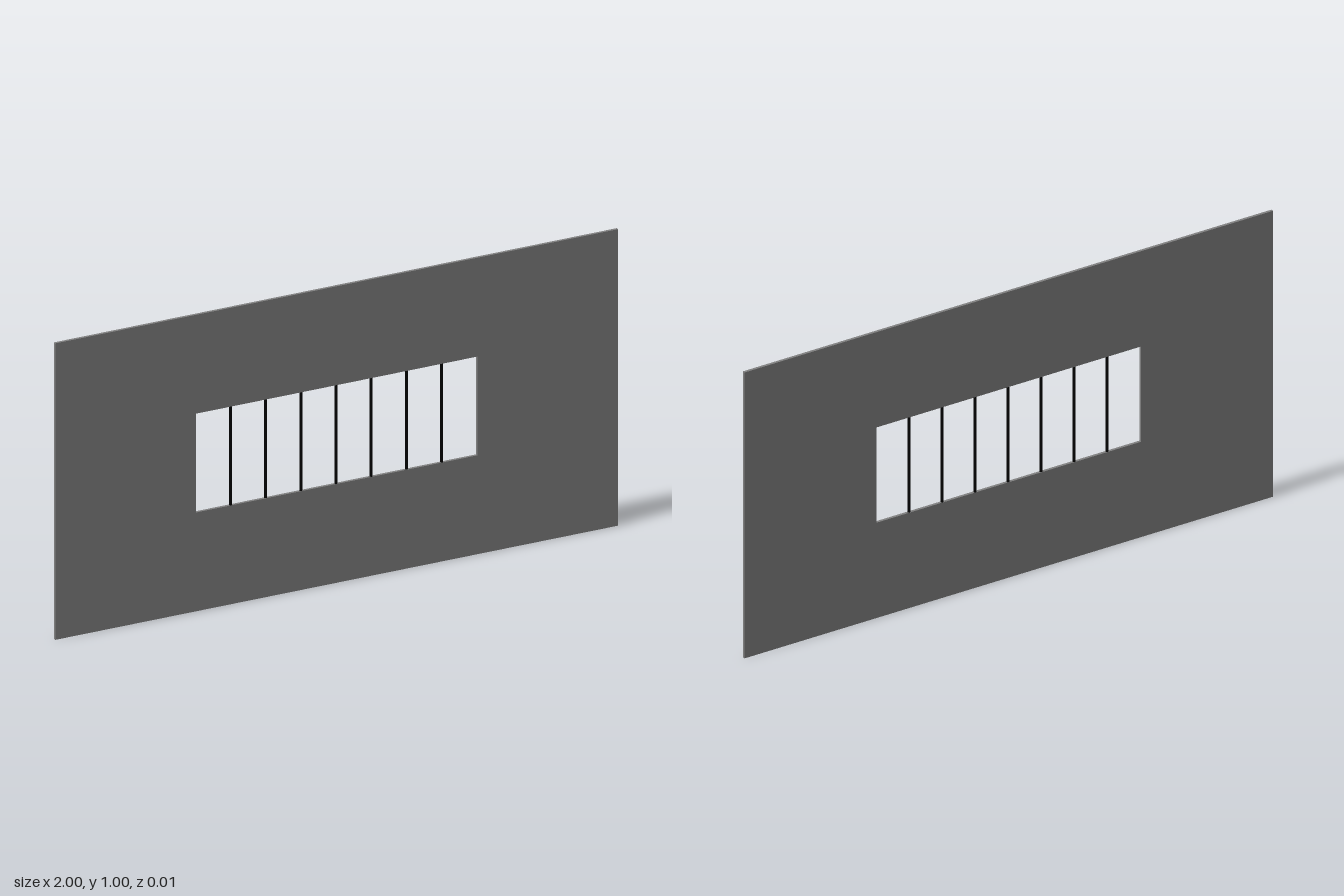
import * as THREE from 'three';

export function createModel() {
  const group = new THREE.Group();
  const wallGrey = new THREE.MeshStandardMaterial({ color: 0x808080 });
  wallGrey.name = 'wall grey';
  const barBlack = new THREE.MeshStandardMaterial({ color: 0x000000 });
  barBlack.name = 'bar black';

  const thickness = 0.01;
  const bottom = 1 / 3, top = 2 / 3, halfWidth = 0.5;

  // Wall panel with a rectangular window opening
  const outline = new THREE.Shape([
    new THREE.Vector2(-1, 0), new THREE.Vector2(1, 0),
    new THREE.Vector2(1, 1), new THREE.Vector2(-1, 1),
  ]);
  outline.holes.push(new THREE.Path([
    new THREE.Vector2(-halfWidth, bottom), new THREE.Vector2(-halfWidth, top),
    new THREE.Vector2(halfWidth, top), new THREE.Vector2(halfWidth, bottom),
  ]));
  const wallGeometry = new THREE.ExtrudeGeometry(outline, { depth: thickness, bevelEnabled: false });
  wallGeometry.translate(0, 0, -thickness / 2);
  const wall = new THREE.Mesh(wallGeometry, wallGrey);
  wall.name = 'wall';
  group.add(wall);

  // Seven evenly spaced upright bars across the opening
  const bars = new THREE.Group();
  bars.name = 'windowBars';
  const barGeometry = new THREE.CylinderGeometry(0.0045, 0.0045, top - bottom, 12);
  for (let i = -3; i <= 3; i++) {
    const bar = new THREE.Mesh(barGeometry, barBlack);
    bar.name = 'bar';
    bar.position.set(i * 0.125, (bottom + top) / 2, 0);
    bars.add(bar);
  }
  group.add(bars);

  return group;
}
